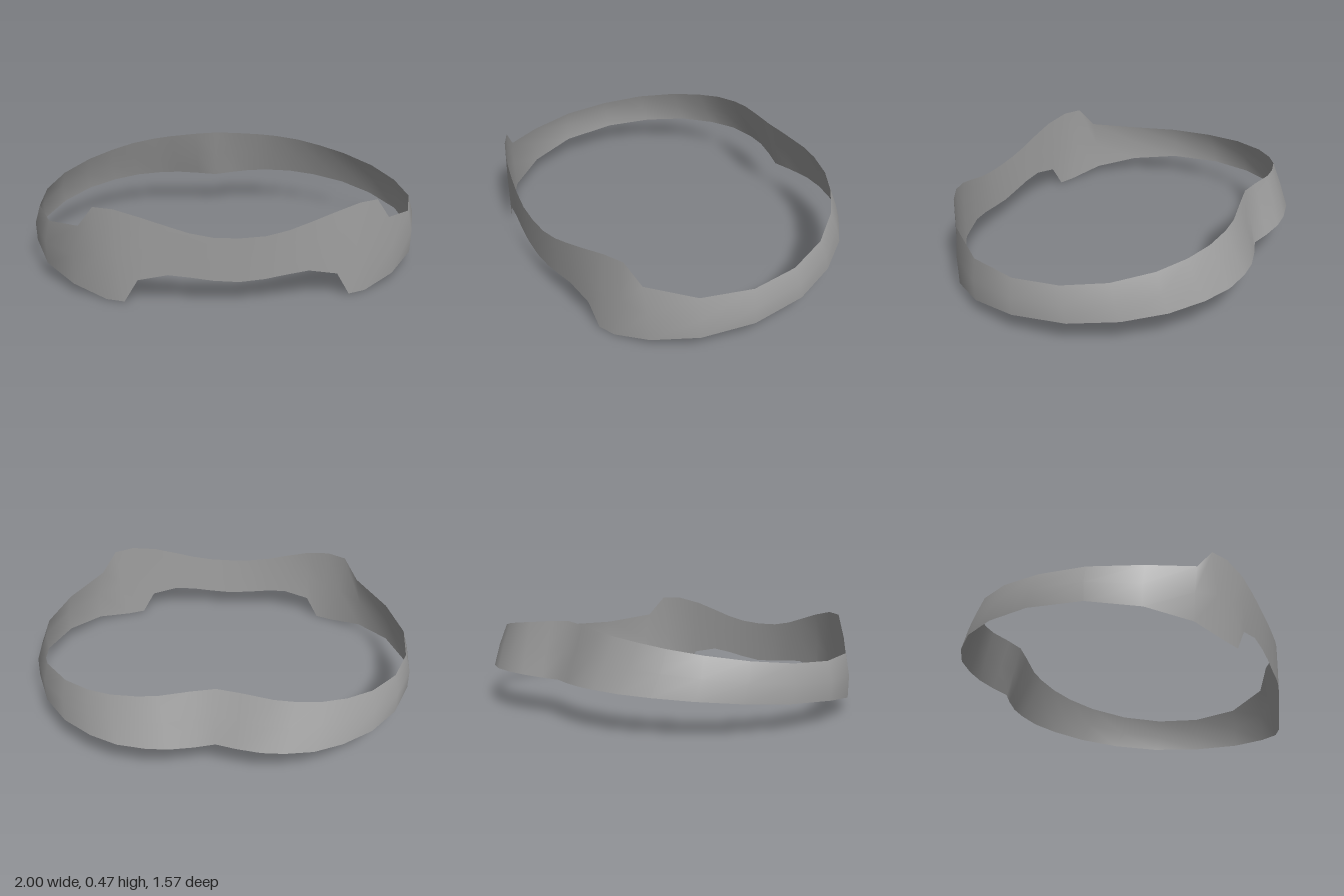
import * as THREE from 'three';

// Half of the band, front centre to back centre: lower edge x, y, z then upper edge x, y, z
const stations = [
  [0, 0.11, 0.77, 0, 0.33, 0.78],
  [0.12, 0.12, 0.768, 0.12, 0.336, 0.777],
  [0.22, 0.135, 0.76, 0.23, 0.357, 0.765],
  [0.33, 0.146, 0.745, 0.33, 0.388, 0.75],
  [0.47, 0.115, 0.72, 0.45, 0.425, 0.725],
  [0.535, 0, 0.7, 0.575, 0.453, 0.68],
  [0.62, 0, 0.665, 0.67, 0.45, 0.63],
  [0.78, 0.04, 0.56, 0.745, 0.34, 0.575],
  [0.92, 0.075, 0.37, 0.9, 0.297, 0.37],
  [0.995, 0.107, 0.12, 0.972, 0.296, 0.12],
  [0.98, 0.13, -0.16, 0.957, 0.31, -0.12],
  [0.89, 0.15, -0.39, 0.88, 0.335, -0.33],
  [0.76, 0.168, -0.57, 0.75, 0.365, -0.5],
  [0.61, 0.18, -0.69, 0.62, 0.39, -0.6],
  [0.47, 0.187, -0.76, 0.5, 0.412, -0.66],
  [0.33, 0.19, -0.785, 0.37, 0.43, -0.69],
  [0.22, 0.19, -0.785, 0.27, 0.441, -0.695],
  [0.1, 0.187, -0.76, 0.12, 0.458, -0.675],
  [0, 0.185, -0.73, 0, 0.467, -0.66],
];

// Closed sheet through the stations, mirrored onto the other side
function bandGeometry() {
  const mirrored = stations.slice(1, -1).reverse()
    .map(([bx, by, bz, tx, ty, tz]) => [-bx, by, bz, -tx, ty, tz]);
  const ring = [...stations, ...mirrored];
  const rows = 3;
  const positions = [];
  const indices = [];
  ring.forEach((s, i) => {
    const low = new THREE.Vector3(s[0], s[1], s[2]);
    const high = new THREE.Vector3(s[3], s[4], s[5]);
    // The sides bulge slightly at mid height
    const middle = low.clone().lerp(high, 0.5);
    middle.x *= 1.016;
    for (const p of [low, middle, high]) positions.push(p.x, p.y, p.z);
    const next = (i + 1) % ring.length;
    for (let r = 0; r < rows - 1; r++) {
      const a = i * rows + r;
      const b = next * rows + r;
      indices.push(a, b, b + 1, a, b + 1, a + 1);
    }
  });
  const geometry = new THREE.BufferGeometry();
  geometry.setAttribute('position', new THREE.Float32BufferAttribute(positions, 3));
  geometry.setIndex(indices);
  geometry.computeVertexNormals();
  return geometry;
}

export function createModel() {
  const grey = new THREE.MeshStandardMaterial({ color: 0xa0a0a0, side: THREE.DoubleSide });
  grey.name = 'grey';
  const band = new THREE.Mesh(bandGeometry(), grey);
  band.name = 'headband';
  const model = new THREE.Group();
  model.name = 'contouredBand';
  model.add(band);
  return model;
}
